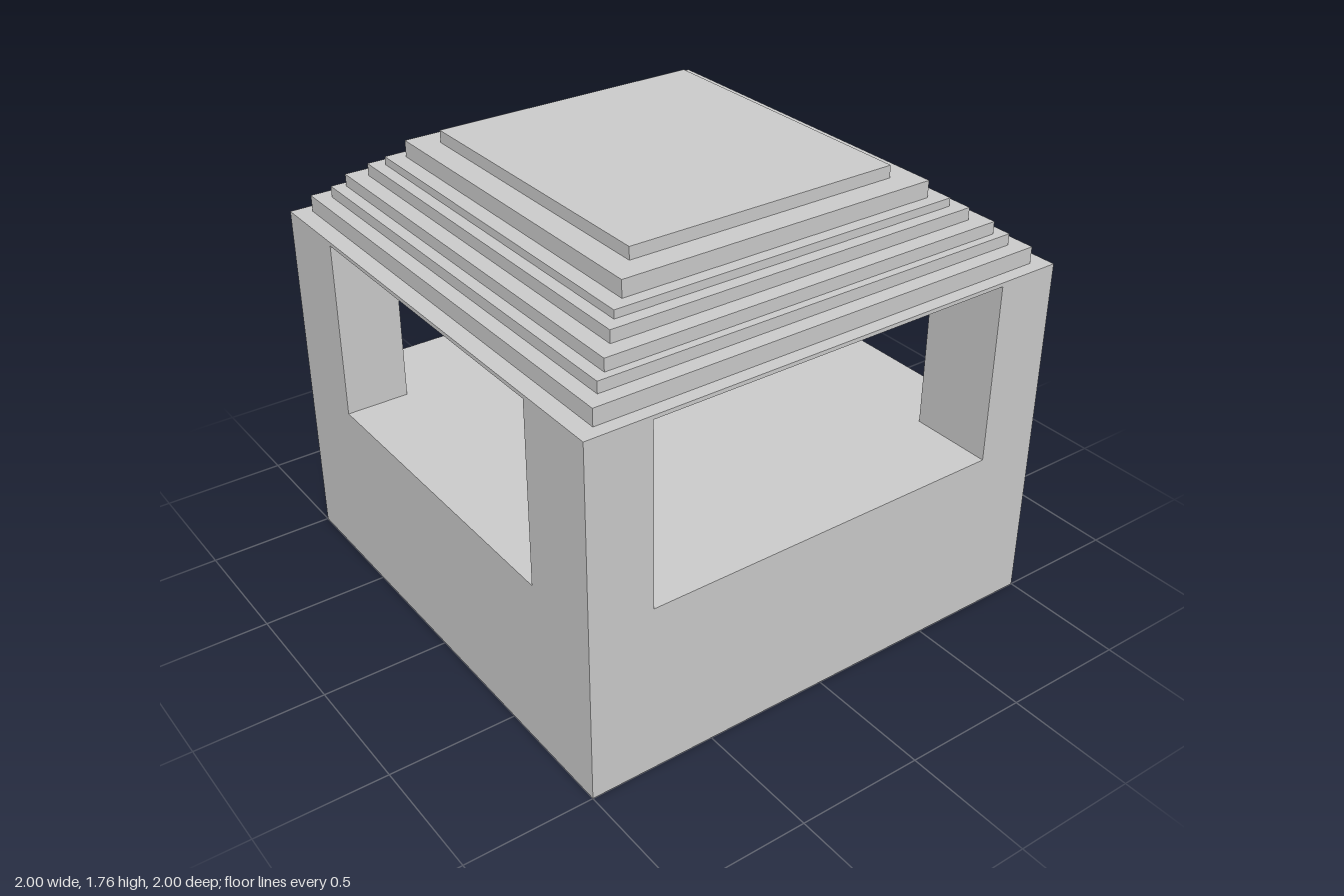
import * as THREE from 'three';

const material = new THREE.MeshStandardMaterial({ color: 0xcccccc, flatShading: true });

// Box given by its footprint, bottom and top heights, and centre
function block(name, width, depth, bottom, top, x = 0, z = 0) {
  const mesh = new THREE.Mesh(new THREE.BoxGeometry(width, top - bottom, depth), material);
  mesh.name = name;
  mesh.position.set(x, (bottom + top) / 2, z);
  return mesh;
}

export function createModel() {
  const model = new THREE.Group();
  model.name = 'pavilion';

  const floorY = 0.683, ceilingY = 1.4, eavesY = 1.415;
  const openX = 0.665, openZ = 0.746; // half widths of the openings

  // Solid plinth
  model.add(block('base', 2, 2, 0, floorY));

  // Four corner posts
  const posts = new THREE.Group();
  posts.name = 'cornerPosts';
  for (const sx of [-1, 1]) {
    for (const sz of [-1, 1]) {
      posts.add(block('cornerPost', 1 - openX, 1 - openZ, floorY, ceilingY,
        sx * (1 + openX) / 2, sz * (1 + openZ) / 2));
    }
  }
  model.add(posts);

  // Thin slab over the posts
  model.add(block('eavesSlab', 2, 2, ceilingY, eavesY));

  // Stepped roof: half width, half depth, top height of each tier
  const tiers = [
    [0.95, 0.933, 1.48],
    [0.89, 0.875, 1.524],
    [0.858, 0.827, 1.572],
    [0.795, 0.762, 1.62],
    [0.746, 0.713, 1.652],
    [0.698, 0.65, 1.717],
    [0.602, 0.554, 1.765],
  ];
  const roof = new THREE.Group();
  roof.name = 'steppedRoof';
  let bottom = eavesY;
  for (const [halfX, halfZ, top] of tiers) {
    roof.add(block('roofTier', halfX * 2, halfZ * 2, bottom, top, -0.002, -0.002));
    bottom = top;
  }
  model.add(roof);

  return model;
}
